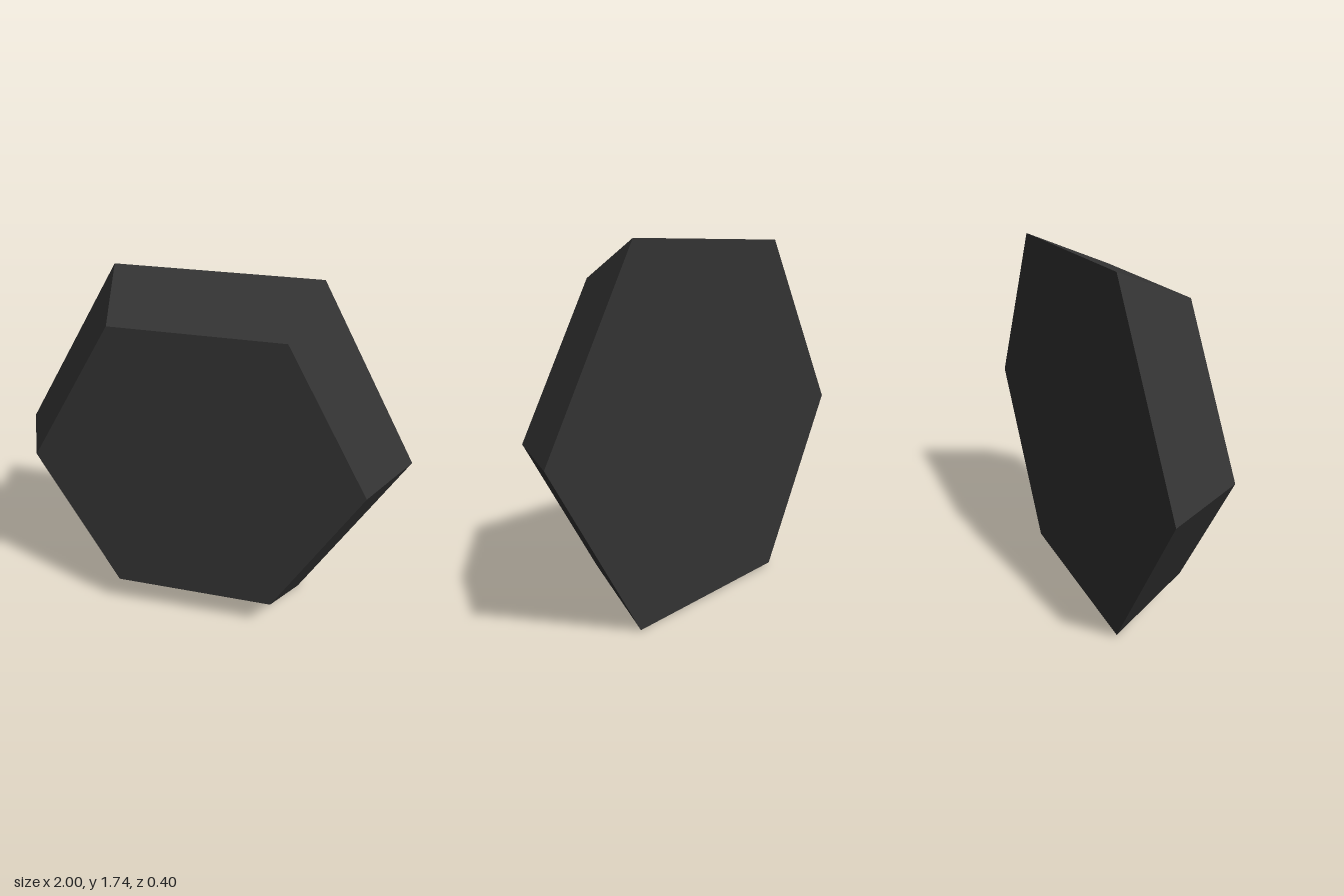
import * as THREE from 'three';

export function createModel() {
  const group = new THREE.Group();
  const charcoal = new THREE.MeshStandardMaterial({ color: 0x333333, flatShading: true });
  charcoal.name = 'charcoal';

  // Six-sided plate, tapering towards the front and tilted very slightly clockwise
  const geometry = new THREE.CylinderGeometry(0.805, 1, 0.4, 6);
  geometry.rotateX(Math.PI / 2);
  geometry.rotateZ(Math.PI / 6 - 0.0115);
  geometry.translate(0, 0.872, 0);

  const plate = new THREE.Mesh(geometry, charcoal);
  plate.name = 'hexagonalPlate';
  group.add(plate);
  return group;
}
